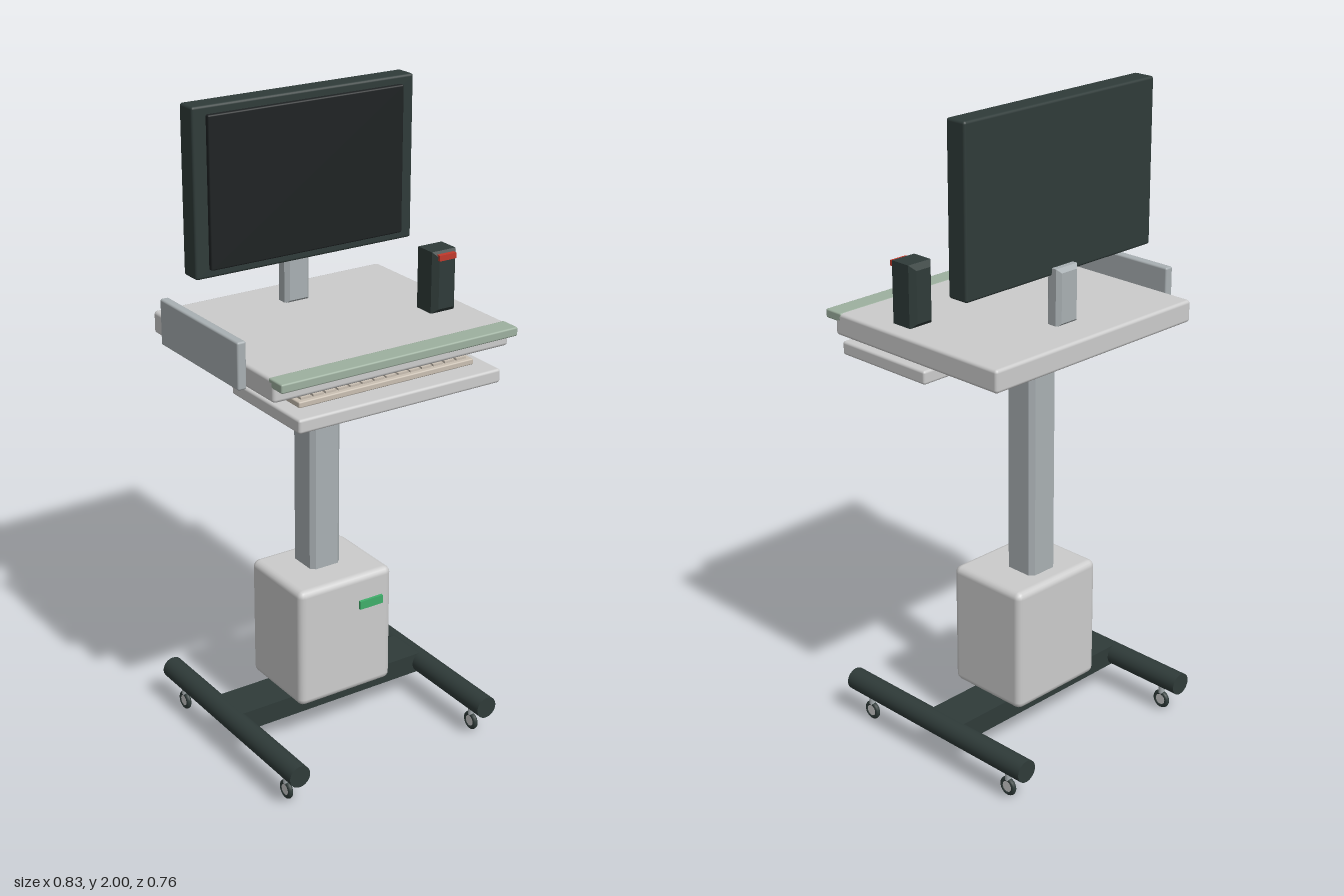
import * as THREE from 'three';
import { RoundedBoxGeometry } from 'three/addons/geometries/RoundedBoxGeometry.js';

const mat = (color) => new THREE.MeshStandardMaterial({ color });

export function createModel() {
  const root = new THREE.Group();
  const grey = mat(0xcccccc), steel = mat(0xa9b0b3), dark = mat(0x2f3b39), black = mat(0x1e2223);
  const green = mat(0x9db09f), beige = mat(0xc9bfb2), red = mat(0xc0392b), label = mat(0x3fae6a);

  const add = (name, geometry, material, parent = root) => {
    const mesh = new THREE.Mesh(geometry, material);
    mesh.name = name;
    parent.add(mesh);
    return mesh;
  };

  // Box given by its extents; r rounds the edges
  const box = (name, [x0, x1], [y0, y1], [z0, z1], material, r = 0, parent = root) => {
    const s = [x1 - x0, y1 - y0, z1 - z0];
    const g = r ? new RoundedBoxGeometry(...s, 2, r) : new THREE.BoxGeometry(...s);
    g.translate((x0 + x1) / 2, (y0 + y1) / 2, (z0 + z1) / 2);
    return add(name, g, material, parent);
  };

  // Box whose front and back rims are chamfered by c
  const chamferBox = (name, [x0, x1], [y0, y1], [z0, z1], material, c, parent = root) => {
    const s = new THREE.Shape([[x0 + c, y0 + c], [x1 - c, y0 + c], [x1 - c, y1 - c], [x0 + c, y1 - c]]
      .map((p) => new THREE.Vector2(...p)));
    const g = new THREE.ExtrudeGeometry(s, {
      depth: z1 - z0 - 2 * c, bevelSize: c, bevelThickness: c, bevelSegments: 1,
    });
    g.translate(0, 0, z0 + c);
    return add(name, g, material, parent);
  };

  // Base: two side tubes joined by a cross bar, on four casters
  const base = new THREE.Group();
  base.name = 'base';
  root.add(base);
  box('crossBar', [-0.33, 0.356], [0.085, 0.15], [-0.105, 0.03], dark, 0, base);
  for (const x of [-0.33, 0.356]) {
    const tube = new THREE.CylinderGeometry(0.035, 0.035, 0.75, 24).rotateX(Math.PI / 2);
    add('baseTube', tube, dark, base).position.set(x, 0.117, -0.005);
    for (const z of [-0.305, 0.295]) {
      const caster = new THREE.Group();
      caster.name = 'caster';
      caster.position.set(x, 0, z);
      base.add(caster);
      const tyre = new THREE.TorusGeometry(0.022, 0.008, 10, 24).rotateY(Math.PI / 2);
      add('tyre', tyre, dark, caster).position.y = 0.034;
      const hub = new THREE.CylinderGeometry(0.02, 0.02, 0.012, 20).rotateZ(Math.PI / 2);
      add('hub', hub, grey, caster).position.y = 0.034;
      add('stem', new THREE.CylinderGeometry(0.01, 0.01, 0.035, 12), steel, caster).position.y = 0.073;
    }
  }

  // Power case with status display
  box('powerCase', [-0.155, 0.18], [0.152, 0.545], [-0.175, 0.105], grey, 0.022);
  box('statusDisplay', [0.057, 0.14], [0.434, 0.461], [0.1, 0.114], label);

  // Column
  chamferBox('column', [-0.04, 0.067], [0.53, 1.292], [-0.117, -0.006], steel, 0.014);

  // Work surface, green front edge and side panel
  box('worktop', [-0.385, 0.412], [1.292, 1.36], [-0.321, 0.335], grey, 0.01);
  box('frontEdge', [-0.385, 0.412], [1.334, 1.361], [0.31, 0.376], green, 0.005);
  box('sidePanel', [-0.416, -0.388], [1.292, 1.432], [-0.222, 0.205], steel, 0.006);

  // Keyboard tray, its pivot rod and the keyboard
  const rod = new THREE.CylinderGeometry(0.021, 0.021, 0.57, 20).rotateZ(Math.PI / 2);
  add('trayRod', rod, dark).position.set(0.011, 1.27, 0.002);
  box('keyboardTray', [-0.33, 0.355], [1.204, 1.246], [0.025, 0.376], grey, 0.008);
  box('keyboard', [-0.285, 0.31], [1.246, 1.264], [0.082, 0.306], beige, 0.004);
  for (let row = 0; row < 5; row++) {
    for (let col = 0; col < 14; col++) {
      const x = -0.27 + col * 0.0407, z = 0.094 + row * 0.041;
      box('key', [x, x + 0.034], [1.262, 1.27], [z, z + 0.034], beige);
    }
  }

  // Monitor and its stand
  chamferBox('monitorStand', [-0.03, 0.055], [1.355, 1.528], [-0.208, -0.155], steel, 0.012);
  box('monitorCase', [-0.358, 0.384], [1.505, 2], [-0.18, -0.11], dark, 0.008);
  box('screen', [-0.315, 0.341], [1.53, 1.975], [-0.115, -0.096], black, 0.005);

  // Scanner with red window
  chamferBox('scanner', [0.272, 0.356], [1.358, 1.546], [0.064, 0.163], dark, 0.016);
  box('scannerWindow', [0.285, 0.343], [1.522, 1.539], [0.145, 0.169], red);

  return root;
}
